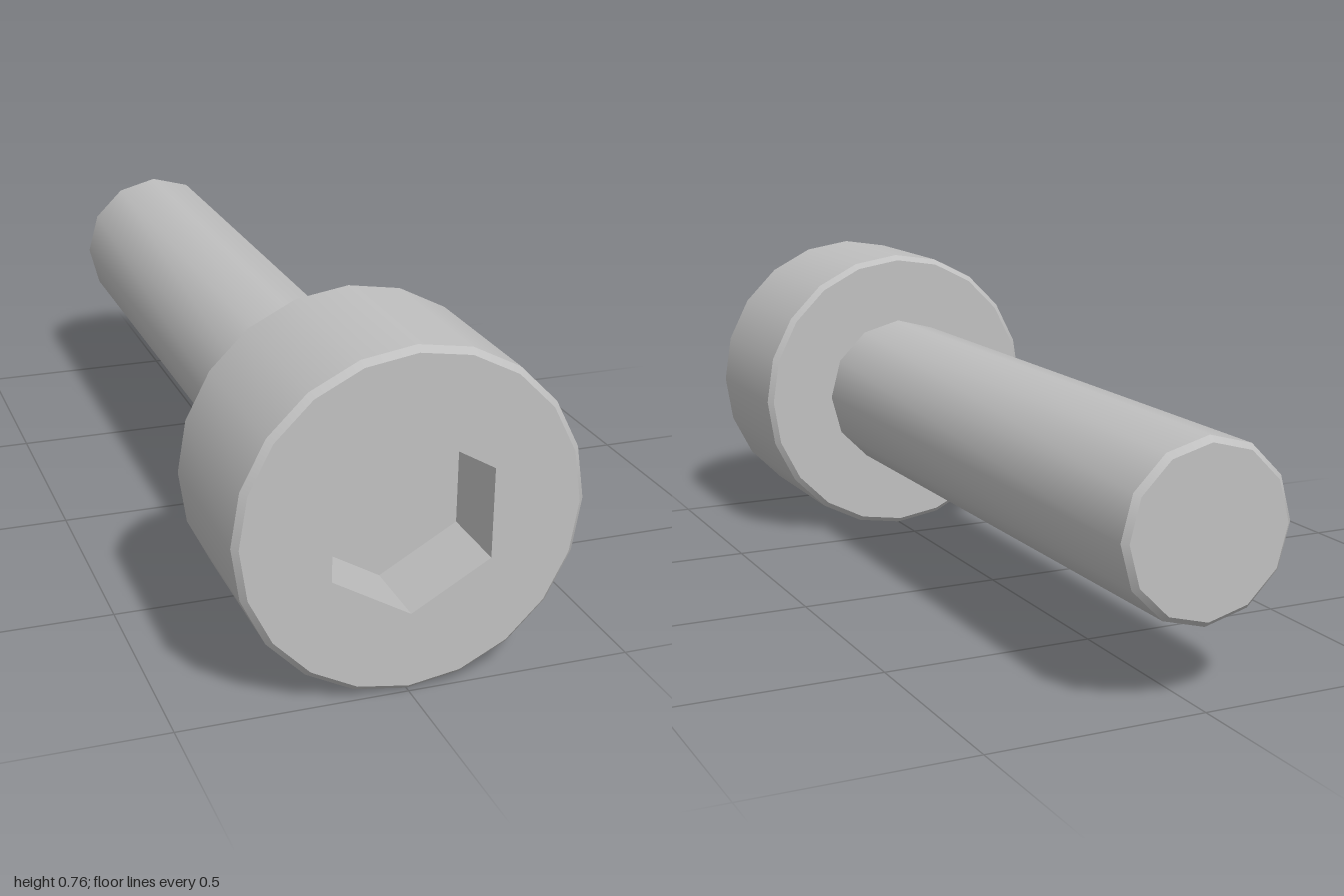
import * as THREE from 'three';

const STEEL = new THREE.MeshStandardMaterial({ color: 0xc0c0c0 });
STEEL.name = 'steel grey';

const HEAD_R = 0.378, SHAFT_R = 0.199, HEX_R = 0.199, BEVEL = 0.013;
const HEAD_SIDES = 20, SHAFT_SIDES = 12;
const FRONT = 1, HEAD_BACK = 0.6, END = -1, SOCKET_DEPTH = 0.175;

// Corners of a regular polygon with one corner at the top
function polygon(sides, r) {
  return Array.from({ length: sides }, (_, i) => {
    const a = Math.PI / 2 + (i / sides) * Math.PI * 2;
    return new THREE.Vector2(r * Math.cos(a), r * Math.sin(a));
  });
}

export function createModel() {
  const model = new THREE.Group();
  model.name = 'socketHeadBolt';

  const add = (parent, name, geometry) => {
    const mesh = new THREE.Mesh(geometry, STEEL);
    mesh.name = name;
    parent.add(mesh);
  };

  // Open band along z, smooth around but sharp at its ends
  const band = (parent, name, rFront, rBack, zFront, zBack, sides) => {
    const g = new THREE.CylinderGeometry(rFront, rBack, zFront - zBack, sides, 1, true);
    g.rotateX(Math.PI / 2).translate(0, 0, (zFront + zBack) / 2);
    add(parent, name, g);
  };

  // Flat face turned to the back
  const backFace = (parent, name, r, z, sides) => {
    const g = new THREE.ShapeGeometry(new THREE.Shape(polygon(sides, r)));
    add(parent, name, g.rotateY(Math.PI).translate(0, 0, z));
  };

  // Head: bevelled drum
  const head = new THREE.Group();
  head.name = 'head';
  const rimR = HEAD_R - BEVEL;
  band(head, 'headFrontBevel', rimR, HEAD_R, FRONT, FRONT - BEVEL, HEAD_SIDES);
  band(head, 'headSide', HEAD_R, HEAD_R, FRONT - BEVEL, HEAD_BACK + BEVEL, HEAD_SIDES);
  band(head, 'headBackBevel', HEAD_R, rimR, HEAD_BACK + BEVEL, HEAD_BACK, HEAD_SIDES);
  backFace(head, 'headBack', rimR, HEAD_BACK, HEAD_SIDES);

  // Front face with the hexagonal opening
  const face = new THREE.Shape(polygon(HEAD_SIDES, rimR));
  face.holes.push(new THREE.Path(polygon(6, HEX_R)));
  add(head, 'headFront', new THREE.ShapeGeometry(face).translate(0, 0, FRONT));

  // Hexagonal socket: floor and six inward-facing walls
  const socket = new THREE.Group();
  socket.name = 'hexSocket';
  const corners = polygon(6, HEX_R);
  add(socket, 'socketFloor',
    new THREE.ShapeGeometry(new THREE.Shape(corners)).translate(0, 0, FRONT - SOCKET_DEPTH));
  const apothem = HEX_R * Math.cos(Math.PI / 6);
  for (let i = 0; i < 6; i++) {
    const wall = new THREE.PlaneGeometry(HEX_R, SOCKET_DEPTH);
    wall.rotateX(-Math.PI / 2).translate(0, -apothem, FRONT - SOCKET_DEPTH / 2);
    wall.rotateZ(Math.PI / 6 + (i * Math.PI) / 3);
    add(socket, 'socketWall', wall);
  }
  head.add(socket);
  model.add(head);

  // Shaft: plain rod with a bevelled end
  const shaft = new THREE.Group();
  shaft.name = 'shaft';
  band(shaft, 'shaftSide', SHAFT_R, SHAFT_R, HEAD_BACK, END + BEVEL, SHAFT_SIDES);
  band(shaft, 'shaftBevel', SHAFT_R, SHAFT_R - BEVEL, END + BEVEL, END, SHAFT_SIDES);
  backFace(shaft, 'shaftEnd', SHAFT_R - BEVEL, END, SHAFT_SIDES);
  model.add(shaft);

  head.position.y = shaft.position.y = HEAD_R;
  return model;
}
